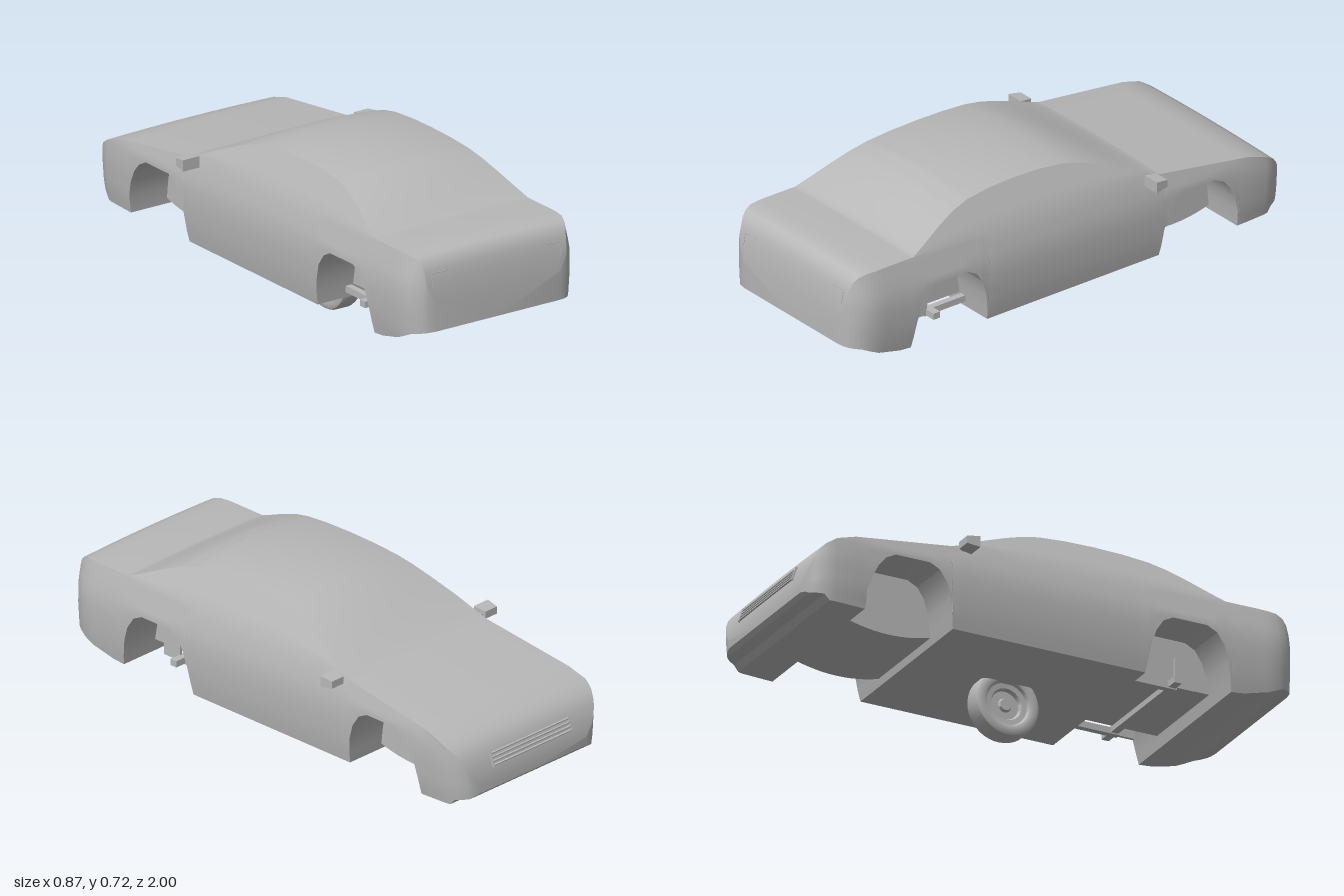
import * as THREE from 'three';
import { toCreasedNormals } from 'three/addons/utils/BufferGeometryUtils.js';

// Silhouette from nose (-z) to tail (+z): [z, height]
const TOP = [[-1, 0.3], [-0.993, 0.34], [-0.98, 0.38], [-0.962, 0.415], [-0.94, 0.44], [-0.9, 0.465],
  [-0.82, 0.49], [-0.42, 0.546], [-0.38, 0.56], [-0.28, 0.612], [-0.18, 0.66], [-0.1, 0.693], [-0.03, 0.71],
  [0.08, 0.721], [0.2, 0.724], [0.32, 0.72], [0.42, 0.709], [0.49, 0.69], [0.57, 0.652], [0.65, 0.608],
  [0.71, 0.577], [0.85, 0.578], [0.92, 0.575], [0.95, 0.566], [0.97, 0.548], [0.984, 0.515], [0.994, 0.46], [1, 0.4]];
// Lower edge, including the two wheel arches
const BOTTOM = [[-1, 0.26], [-0.985, 0.245], [-0.94, 0.238], [-0.92, 0.215], [-0.778, 0.21],
  [-0.771, 0.28], [-0.755, 0.34], [-0.73, 0.39], [-0.7, 0.425], [-0.66, 0.445], [-0.52, 0.445], [-0.48, 0.425],
  [-0.45, 0.38], [-0.43, 0.32], [-0.422, 0.25], [-0.416, 0.21], [0.376, 0.21],
  [0.382, 0.26], [0.392, 0.32], [0.41, 0.38], [0.44, 0.425], [0.48, 0.445], [0.62, 0.445], [0.66, 0.425],
  [0.69, 0.38], [0.71, 0.32], [0.722, 0.25], [0.728, 0.21], [0.78, 0.215], [0.88, 0.24], [0.95, 0.272], [1, 0.28]];
// Half width at each height
const WIDTH = [[0.2, 0.352], [0.28, 0.367], [0.38, 0.375], [0.46, 0.373], [0.57, 0.346], [0.7, 0.282], [0.73, 0.266]];

function sample(table, t) {
  if (t <= table[0][0]) return table[0][1];
  for (let i = 1; i < table.length; i++) {
    const [a, u] = table[i - 1], [b, v] = table[i];
    if (t <= b) return u + (v - u) * (t - a) / (b - a);
  }
  return table[table.length - 1][1];
}

// Rounded corners seen from above
function planScale(z) {
  const d = Math.max(0, (Math.abs(z) - 0.88) / 0.12);
  return 1 - 0.25 * (1 - Math.sqrt(Math.max(0, 1 - d * d)));
}

// Closed cross-section, counter-clockwise from the bottom centre
function section(z) {
  const top = sample(TOP, z), bottom = sample(BOTTOM, z), scale = planScale(z);
  const cabin = THREE.MathUtils.clamp((top - 0.575) / 0.12, 0, 1);
  const crown = 0.006 + 0.016 * cabin, edge = top - crown;
  const shoulder = Math.min(0.568, edge);
  const half = [];
  const side = (y) => half.push([sample(WIDTH, y) * scale, y]);
  for (let i = 0; i <= 8; i++) side(bottom + (shoulder - bottom) * i / 8);
  for (let i = 1; i <= 3; i++) side(shoulder + (edge - shoulder) * i / 3);
  const w = half[half.length - 1][0];
  for (const f of [0.975, 0.93, 0.75, 0.5, 0.25]) half.push([w * f, edge + crown * (1 - f * f)]);
  const mirrored = half.map(([x, y]) => [-x, y]).reverse();
  return [[0, bottom], ...half, [0, top], ...mirrored].map(([x, y]) => new THREE.Vector3(x, y, z));
}

function bodyGeometry() {
  const stations = [...new Set([...TOP, ...BOTTOM].map((p) => p[0]).concat([-0.97, 0.99]))].sort((a, b) => a - b);
  const rings = stations.map(section), n = rings[0].length, pos = [];
  const tri = (a, b, c) => {
    const area = b.clone().sub(a).cross(c.clone().sub(a)).length();
    if (area > 1e-9) for (const p of [a, b, c]) pos.push(p.x, p.y, p.z);
  };
  for (let i = 0; i + 1 < rings.length; i++) {
    for (let j = 0; j < n; j++) {
      const k = (j + 1) % n, p = rings[i], q = rings[i + 1];
      tri(p[j], p[k], q[k]);
      tri(p[j], q[k], q[j]);
    }
  }
  const first = rings[0], last = rings[rings.length - 1];
  for (let j = 1; j + 1 < n; j++) {
    tri(first[0], first[j + 1], first[j]);
    tri(last[0], last[j], last[j + 1]);
  }
  const g = new THREE.BufferGeometry();
  g.setAttribute('position', new THREE.Float32BufferAttribute(pos, 3));
  return toCreasedNormals(g, 0.5);
}

export function createModel() {
  const car = new THREE.Group();
  car.name = 'car';
  const grey = new THREE.MeshStandardMaterial({ color: 0xb8b8b8 });
  grey.name = 'plain grey';

  const add = (name, geometry, x = 0, y = 0, z = 0, rx = 0) => {
    const m = new THREE.Mesh(geometry, grey);
    m.name = name;
    m.position.set(x, y, z);
    m.rotation.x = rx;
    car.add(m);
    return m;
  };
  const box = (name, w, h, d, x, y, z, rx = 0) => add(name, new THREE.BoxGeometry(w, h, d), x, y, z, rx);

  add('body', bodyGeometry());

  // Inner housings between the wheel wells
  const housing = (name, z, halfWidth, low, sag) => {
    const s = new THREE.Shape();
    s.moveTo(-0.172, low);
    s.quadraticCurveTo(0, low - sag, 0.172, low);
    s.lineTo(0.165, 0.3);
    s.quadraticCurveTo(0.14, 0.45, 0.07, 0.45);
    s.lineTo(-0.07, 0.45);
    s.quadraticCurveTo(-0.14, 0.45, -0.165, 0.3);
    const g = new THREE.ExtrudeGeometry(s, { depth: 2 * halfWidth, bevelEnabled: false, curveSegments: 12 });
    g.translate(0, 0, -halfWidth).rotateY(-Math.PI / 2);
    add(name, toCreasedNormals(g, 0.5), 0, 0, z);
  };
  housing('frontWheelHousing', -0.597, 0.2, 0.235, 0.05);
  housing('rearWheelHousing', 0.552, 0.2, 0.26, 0);

  // Rear suspension
  box('rearCrossBeam', 0.56, 0.025, 0.03, 0, 0.25, 0.55);
  for (const s of [-1, 1]) {
    box('rearTrailingArm', 0.025, 0.025, 0.2, s * 0.22, 0.245, 0.47);
    box('rearHanger', 0.012, 0.12, 0.08, s * 0.23, 0.3, 0.6);
  }

  // Grille with slats under the bonnet lip
  for (let i = 0; i < 4; i++) box('grilleSlat', 0.4, 0.005, 0.012, 0, 0.345 + i * 0.014, -0.993 + i * 0.0055);
  for (const s of [-1, 1]) box('grilleEnd', 0.006, 0.058, 0.012, s * 0.203, 0.366, -0.985, 0.33);

  // Tail lamp trim
  for (const s of [-1, 1]) {
    box('tailLampTrim', 0.065, 0.003, 0.006, s * 0.252, 0.501, 0.985);
    box('tailLampTrim', 0.003, 0.05, 0.006, s * 0.286, 0.476, 0.989, -0.2);
  }

  // Door mirrors, tapering towards the front
  for (const s of [-1, 1]) {
    const g = new THREE.BoxGeometry(0.072, 0.044, 0.052);
    const p = g.attributes.position;
    for (let i = 0; i < p.count; i++) {
      if (p.getZ(i) < 0) {
        p.setY(i, p.getY(i) * 0.65);
        p.setX(i, p.getX(i) * 0.85);
      }
    }
    g.computeVertexNormals();
    add('doorMirror', g, s * 0.398, 0.542, -0.371);
    box('mirrorStalk', 0.035, 0.016, 0.025, s * 0.36, 0.536, -0.371);
  }

  // Single wheel beneath the floor, turned about the x axis
  const face = [[0, 0.022], [0.022, 0.022], [0.027, 0.012], [0.055, 0.012], [0.062, 0.026], [0.082, 0.028],
    [0.088, 0.04], [0.095, 0.043], [0.115, 0.043], [0.126, 0.038], [0.131, 0.027]];
  const profile = [...face.map(([r, x]) => [r, -x]), ...face.slice().reverse()].map(([r, x]) => new THREE.Vector2(r, x));
  const wheelGeometry = new THREE.LatheGeometry(profile, 40);
  wheelGeometry.rotateZ(Math.PI / 2);
  add('wheel', toCreasedNormals(wheelGeometry, 0.6), 0, 0.131, -0.02);

  return car;
}
